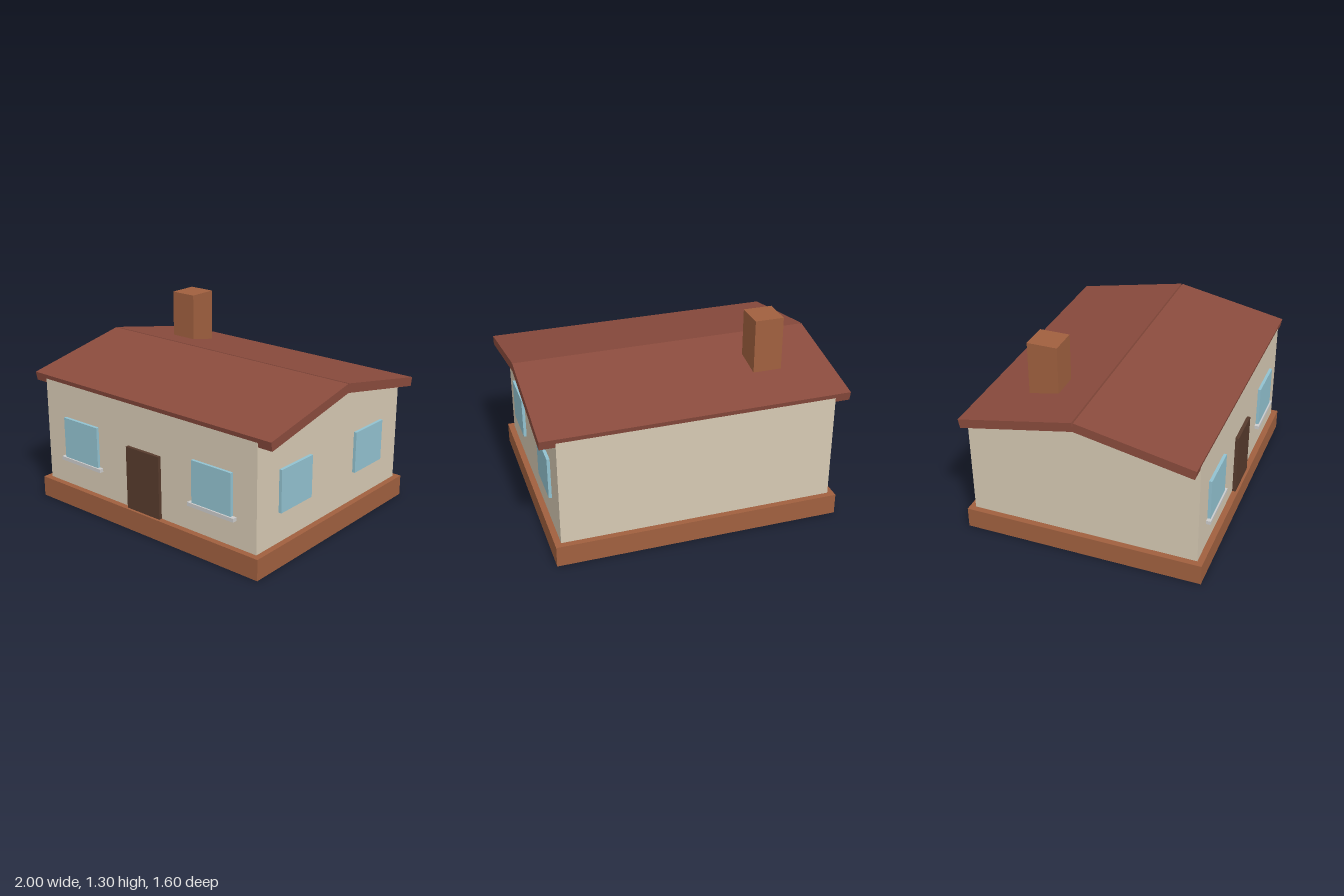
import * as THREE from 'three';

const mat = (color, extra = {}) => new THREE.MeshStandardMaterial({ color, ...extra });

export function createModel() {
  const house = new THREE.Group();
  house.name = 'house';

  const brick = mat(0xa0603f);
  const plaster = mat(0xd6c9b3);
  const tile = mat(0x8a4b3d);
  const glass = mat(0x92c2d0);
  const wood = mat(0x573b2d);
  const stone = mat(0xcccccc);

  // Box given by its extents along each axis
  const box = (name, material, [x0, x1], [y0, y1], [z0, z1]) => {
    const mesh = new THREE.Mesh(new THREE.BoxGeometry(x1 - x0, y1 - y0, z1 - z0), material);
    mesh.position.set((x0 + x1) / 2, (y0 + y1) / 2, (z0 + z1) / 2);
    mesh.name = name;
    house.add(mesh);
    return mesh;
  };

  // Base and walls
  box('foundation', brick, [-0.94, 0.94], [0, 0.14], [-0.8, 0.8]);
  box('walls', plaster, [-0.9, 0.9], [0.02, 0.85], [-0.76, 0.76]);

  // Gable prism, jutting slightly past the end walls
  const eaveY = 0.85, ridgeY = 1.0, halfDepth = 0.76, gableLength = 1.92;
  const triangle = new THREE.Shape([
    new THREE.Vector2(-halfDepth, eaveY),
    new THREE.Vector2(halfDepth, eaveY),
    new THREE.Vector2(0, ridgeY),
  ]);
  const gableGeometry = new THREE.ExtrudeGeometry(triangle, { depth: gableLength, bevelEnabled: false });
  gableGeometry.translate(0, 0, -gableLength / 2);
  gableGeometry.rotateY(Math.PI / 2);
  const gable = new THREE.Mesh(gableGeometry, plaster);
  gable.name = 'gable';
  house.add(gable);

  // Two sloping roof slabs meeting at the ridge
  const rise = ridgeY - eaveY;
  const slabLength = Math.hypot(halfDepth, rise);
  for (const side of [1, -1]) {
    const slab = new THREE.Mesh(new THREE.BoxGeometry(2, 0.06, slabLength), tile);
    slab.position.set(0, (eaveY + ridgeY) / 2, side * halfDepth / 2);
    slab.rotation.x = side * Math.atan2(rise, halfDepth);
    slab.name = side > 0 ? 'frontRoof' : 'backRoof';
    house.add(slab);
  }

  box('chimney', brick, [-0.66, -0.47], [0.9, 1.3], [-0.44, -0.24]);

  // Front door, front windows with sills, and windows in the left end wall
  box('door', wood, [-0.14, 0.14], [0.14, 0.565], [0.74, 0.783]);
  for (const side of [1, -1]) {
    const label = side > 0 ? 'Left' : 'Right';
    const x = side * 0.565;
    box(`frontWindow${label}`, glass, [x - 0.155, x + 0.155], [0.34, 0.62], [0.74, 0.78]);
    box(`windowSill${label}`, stone, [x - 0.182, x + 0.182], [0.315, 0.34], [0.74, 0.79]);

    const z = side * 0.395;
    box(side > 0 ? 'sideWindowFront' : 'sideWindowBack', glass,
      [0.88, 0.92], [0.34, 0.62], [z - 0.155, z + 0.155]);
  }

  return house;
}
